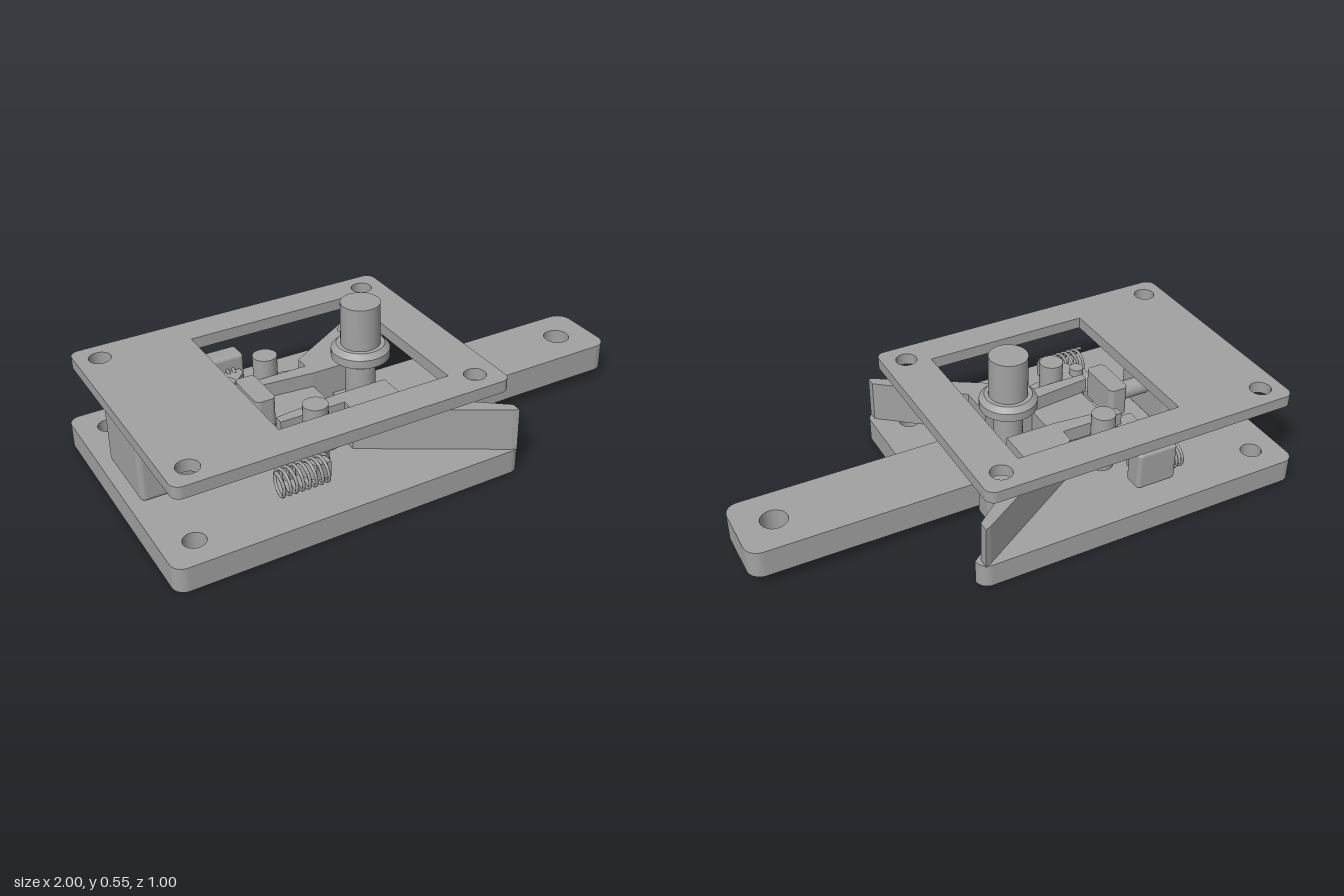
import * as THREE from 'three';
import { RoundedBoxGeometry } from 'three/addons/geometries/RoundedBoxGeometry.js';

export function createModel() {
  const model = new THREE.Group();
  const gray = new THREE.MeshStandardMaterial({ color: 0xa2a2a2 });
  gray.name = 'plain gray metal';

  function add(name, geometry, x = 0, y = 0, z = 0) {
    const mesh = new THREE.Mesh(geometry, gray);
    mesh.name = name;
    mesh.position.set(x, y, z);
    model.add(mesh);
    return mesh;
  }

  // Plan outline given as [x, z] points
  const outline = (pts) => new THREE.Shape(pts.map(([x, z]) => new THREE.Vector2(x, -z)));

  // Rectangle in plan with rounded corners
  function roundedRect(x0, x1, halfZ, r) {
    const s = new THREE.Shape();
    s.absarc(x1 - r, halfZ - r, r, 0, Math.PI / 2);
    s.absarc(x0 + r, halfZ - r, r, Math.PI / 2, Math.PI);
    s.absarc(x0 + r, -halfZ + r, r, Math.PI, Math.PI * 1.5);
    s.absarc(x1 - r, -halfZ + r, r, Math.PI * 1.5, Math.PI * 2);
    return s;
  }

  function hole(shape, x, z, r) {
    shape.holes.push(new THREE.Path().absarc(x, -z, r, 0, Math.PI * 2, true));
  }

  // Raise a plan shape from y0 to y1
  function slab(shape, y0, y1) {
    const g = new THREE.ExtrudeGeometry(shape, { depth: y1 - y0, bevelEnabled: false, curveSegments: 16 });
    return g.rotateX(-Math.PI / 2).translate(0, y0, 0);
  }

  function pin(name, x, z, r, y0, y1) {
    add(name, new THREE.CylinderGeometry(r, r, y1 - y0, 32), x, (y0 + y1) / 2, z);
  }

  function screwHoles(shape) {
    for (const x of [-0.885, 0.18]) for (const z of [-0.385, 0.385]) hole(shape, x, z, 0.04);
  }

  // Base plate, with a slot under the pull bar
  const base = new THREE.Shape();
  const r = 0.045;
  base.moveTo(0.315, 0.145);
  base.absarc(0.315 - r, 0.5 - r, r, 0, Math.PI / 2);
  base.absarc(-1 + r, 0.5 - r, r, Math.PI / 2, Math.PI);
  base.absarc(-1 + r, -0.5 + r, r, Math.PI, Math.PI * 1.5);
  base.absarc(0.315 - r, -0.5 + r, r, Math.PI * 1.5, Math.PI * 2);
  base.lineTo(0.315, -0.145);
  base.lineTo(-0.12, -0.145);
  base.lineTo(-0.12, 0.145);
  screwHoles(base);
  add('basePlate', slab(base, 0, 0.092));

  // Cover plate with a rectangular window
  const cover = roundedRect(-0.97, 0.27, 0.472, 0.035);
  screwHoles(cover);
  cover.holes.push(outline([[-0.555, -0.345], [0.095, -0.345], [0.095, 0.345], [-0.555, 0.345]]));
  add('coverPlate', slab(cover, 0.33, 0.375));

  // Pull bar
  const bar = roundedRect(-0.12, 1, 0.145, 0.055);
  hole(bar, 0.86, 0, 0.05);
  add('pullBar', slab(bar, 0.04, 0.147));

  // Post with a chamfered collar
  const post = [[0, 0.14], [0.055, 0.14], [0.055, 0.31], [0.07, 0.31], [0.107, 0.333], [0.107, 0.365],
    [0.088, 0.384], [0.072, 0.384], [0.072, 0.546], [0, 0.546]];
  for (let i = 0; i < post.length - 1; i++) {
    const pair = [post[i], post[i + 1]].map(([a, b]) => new THREE.Vector2(a, b));
    add('postSection' + (i + 1), new THREE.LatheGeometry(pair, 40), -0.05, 0, 0);
  }

  // Actuator with its plunger and push block
  add('actuatorBody', new RoundedBoxGeometry(0.325, 0.222, 0.3, 4, 0.02), -0.8025, 0.222, 0);
  add('plunger', new THREE.CylinderGeometry(0.035, 0.035, 0.16, 24).rotateZ(Math.PI / 2), -0.58, 0.24, 0);
  add('pushBlock', slab(roundedRect(-0.51, -0.435, 0.09, 0.02), 0.205, 0.32));

  // Tapered centre body
  add('centreBody', slab(outline([[-0.43, -0.14], [-0.2, -0.085], [-0.2, 0.085], [-0.43, 0.14]]), 0.09, 0.2));

  // Helix with its axis along x
  class Helix extends THREE.Curve {
    getPoint(t, target = new THREE.Vector3()) {
      const a = t * Math.PI * 2 * 8;
      return target.set(-0.575 + t * 0.19, 0.172 + 0.046 * Math.cos(a), 0.046 * Math.sin(a));
    }
  }

  for (const side of [-1, 1]) {
    const name = side > 0 ? 'front' : 'back';
    const mirror = (pts) => outline(pts.map(([x, z]) => [x, z * side]));

    // Funnel wall flaring outwards
    add(name + 'GuideWall', slab(mirror([[-0.2, 0.085], [0, 0.085], [0, 0.225], [0.295, 0.46],
      [0.295, 0.498], [0.275, 0.49], [-0.2, 0.2]]), 0.09, 0.256));

    // Inner cheek between body and guide
    add(name + 'Cheek', slab(mirror([[-0.45, 0.11], [-0.2, 0.085], [-0.2, 0.145], [-0.45, 0.145]]), 0.09, 0.256));

    // Lever on its pivot
    add(name + 'Lever', slab(mirror([[-0.52, 0.1], [-0.435, 0.1], [-0.435, 0.15], [-0.2, 0.15],
      [-0.2, 0.215], [-0.3, 0.24], [-0.43, 0.25], [-0.38, 0.3], [-0.38, 0.37], [-0.435, 0.37],
      [-0.52, 0.24]]), 0.145, 0.206));
    pin(name + 'PivotPin', -0.34, 0.192 * side, 0.045, 0.09, 0.32);
    pin(name + 'LeverPin', -0.475, 0.225 * side, 0.027, 0.09, 0.235);

    // Return spring
    add(name + 'Spring', new THREE.TubeGeometry(new Helix(), 240, 0.006, 6), 0, 0, 0.35 * side);
  }

  // Back spring holder and latch block inside the funnel
  add('springHolder', new RoundedBoxGeometry(0.16, 0.155, 0.08, 3, 0.015), -0.44, 0.188, -0.37);
  add('latchBlock', new RoundedBoxGeometry(0.165, 0.163, 0.09, 3, 0.018), 0.118, 0.193, -0.29);

  return model;
}
